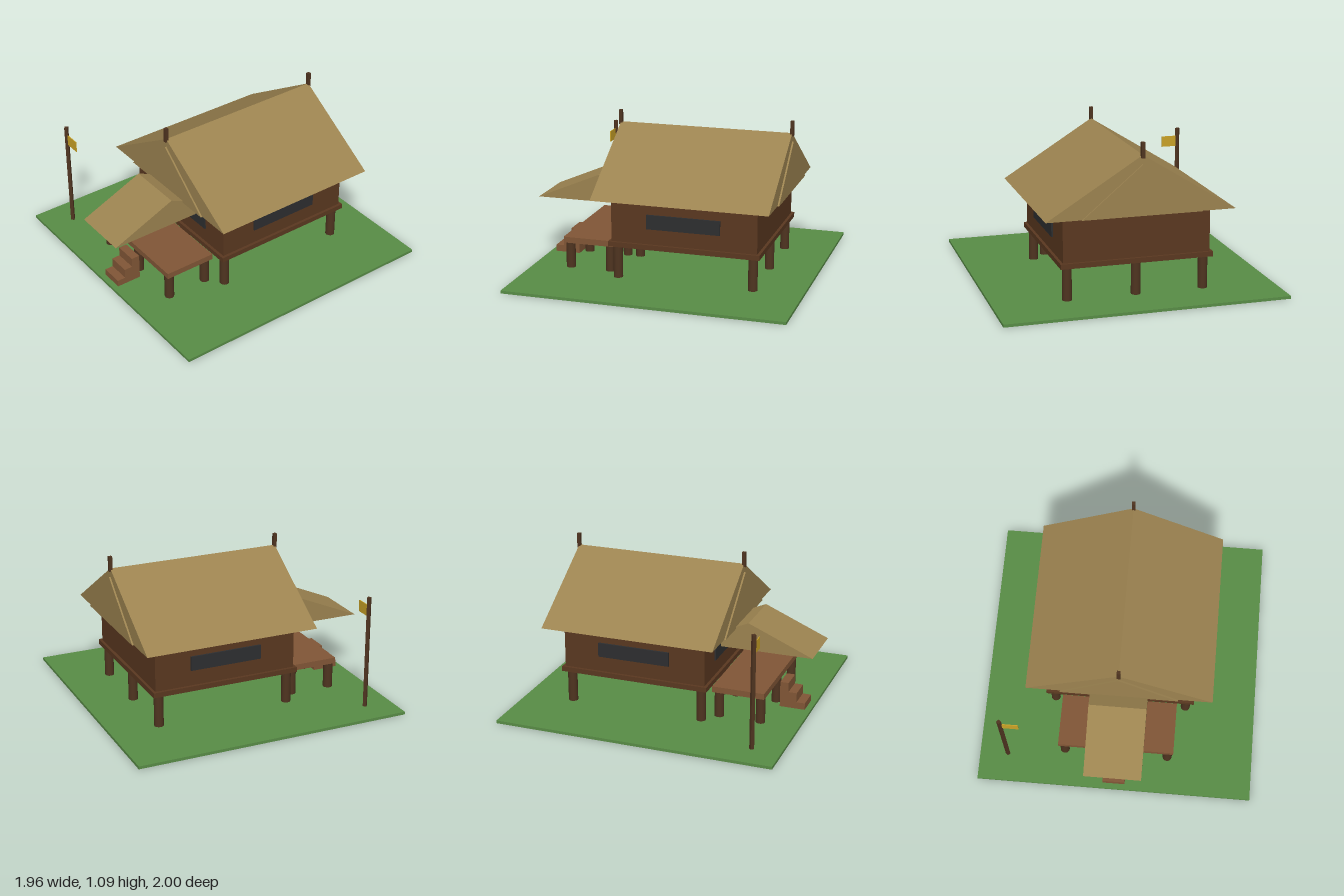
import * as THREE from 'three';

const mat = (name, color) => {
  const m = new THREE.MeshStandardMaterial({ color });
  m.name = name;
  return m;
};

export function createModel() {
  const grass = mat('grass green', 0x588c46);
  const thatch = mat('thatch tan', 0x9c8350);
  const wallWood = mat('wall brown', 0x5a3820);
  const postWood = mat('post dark brown', 0x4f3420);
  const deckWood = mat('deck brown', 0x815636);
  const glass = mat('window grey', 0x2d2e30);
  const gold = mat('flag gold', 0xc9a227);

  const model = new THREE.Group();
  model.name = 'stiltHouse';

  const add = (name, geometry, material, x = 0, y = 0, z = 0) => {
    const mesh = new THREE.Mesh(geometry, material);
    mesh.name = name;
    mesh.position.set(x, y, z);
    model.add(mesh);
    return mesh;
  };
  // Box given by its limits along each axis
  const box = (name, material, [x0, x1], [y0, y1], [z0, z1]) =>
    add(name, new THREE.BoxGeometry(x1 - x0, y1 - y0, z1 - z0), material,
      (x0 + x1) / 2, (y0 + y1) / 2, (z0 + z1) / 2);
  // Triangular prism along z, with its base on y = 0
  const prism = (halfWidth, height, length) => {
    const s = new THREE.Shape();
    s.moveTo(-halfWidth, 0);
    s.lineTo(halfWidth, 0);
    s.lineTo(0, height);
    s.closePath();
    return new THREE.ExtrudeGeometry(s, { depth: length, bevelEnabled: false })
      .translate(0, 0, -length / 2);
  };

  // Ground
  box('ground', grass, [-0.98, 0.98], [0, 0.02], [-1, 0.96]);

  // House body on its floor platform
  box('floorPlatform', wallWood, [-0.53, 0.53], [0.25, 0.285], [-0.71, 0.355]);
  box('houseWalls', wallWood, [-0.51, 0.51], [0.28, 0.605], [-0.69, 0.335]);

  // Window bands on the front and both sides
  box('frontWindow', glass, [-0.307, 0.307], [0.395, 0.495], [0.335, 0.344]);
  for (const s of [-1, 1]) {
    const w = box('sideWindow', glass, [-0.008, 0.008], [0.395, 0.495], [-0.435, 0.08]);
    w.position.x = s * 0.515;
  }

  // Stilts under the house and the porch
  const stilts = (name, half, rows, height) => {
    const g = new THREE.CylinderGeometry(0.033, 0.033, height, 12);
    for (const z of rows)
      for (const x of [-half, 0, half]) add(name, g, postWood, x, height / 2, z);
  };
  stilts('houseStilt', 0.475, [0.3, -0.655], 0.25);
  stilts('porchStilt', 0.37, [0.395, 0.69], 0.21);

  // Porch deck and steps
  box('porchDeck', deckWood, [-0.41, 0.41], [0.205, 0.247], [0.355, 0.725]);
  for (let i = 0; i < 3; i++)
    box('step', deckWood, [-0.08, 0.08], [0, 0.068 * (i + 1)], [0.86 - i * 0.06, 0.92 - i * 0.06]);

  // Main roof with a raised triangle on each gable
  add('mainRoof', prism(0.65, 0.405, 1.235), thatch, 0, 0.6, -0.18);
  for (const z of [0.442, -0.802]) add('gablePanel', prism(0.41, 0.345, 0.014), thatch, 0, 0.6, z);

  // Ridge finials
  for (const z of [0.437, -0.797])
    box('ridgeFinial', postWood, [-0.012, 0.012], [0.985, 1.09], [z - 0.012, z + 0.012]);

  // Porch roof, ridge running across the front
  add('porchRoof', prism(0.455, 0.195, 0.4), thatch, 0, 0.46, 0.54).rotation.y = Math.PI / 2;

  // Flagpole and flag
  add('flagpole', new THREE.CylinderGeometry(0.017, 0.017, 0.82, 4).toNonIndexed(), postWood, -0.78, 0.41, 0.76)
    .geometry.computeVertexNormals();
  box('flag', gold, [-0.77, -0.655], [0.68, 0.76], [0.757, 0.763]);

  return model;
}
